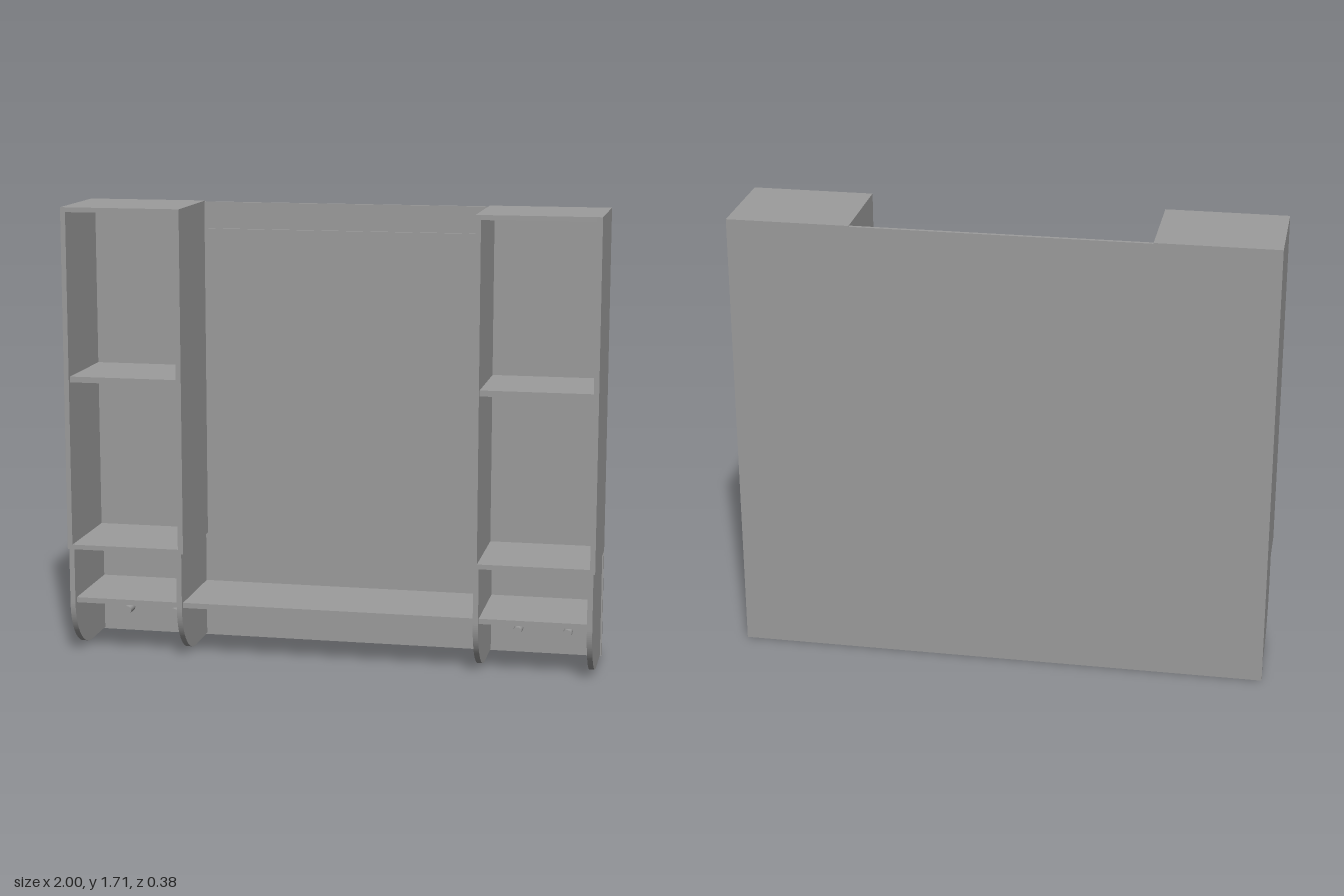
import * as THREE from 'three';

const material = new THREE.MeshStandardMaterial({ color: 0x9c9c9c });

export function createModel() {
  const model = new THREE.Group();
  model.name = 'wallShelfUnit';

  const add = (name, geometry, parent = model) => {
    const mesh = new THREE.Mesh(geometry, material);
    mesh.name = name;
    parent.add(mesh);
    return mesh;
  };

  // Box given by its two extreme corners
  const slab = (name, x0, x1, y0, y1, z0, z1, parent) => {
    const mesh = add(name, new THREE.BoxGeometry(x1 - x0, y1 - y0, z1 - z0), parent);
    mesh.position.set((x0 + x1) / 2, (y0 + y1) / 2, (z0 + z1) / 2);
  };

  // Full-width back board, thin centre panel and the long lower shelf
  slab('backPanel', -1, 1, 0, 1.707, -0.192, -0.178);
  slab('centrePanel', -0.53, 0.53, 0.417, 1.606, -0.178, -0.165);
  slab('centreShelf', -0.555, 0.555, 0.2, 0.22, -0.178, 0.175);

  // Lower side board: rounded lower front corner, drawn with z along the shape's x
  const sideShape = new THREE.Shape();
  sideShape.moveTo(-0.178, 0.005);
  sideShape.lineTo(-0.008, 0.005);
  sideShape.absellipse(-0.008, 0.205, 0.2, 0.2, -Math.PI / 2, 0, false);
  sideShape.lineTo(0.192, 0.412);
  sideShape.lineTo(-0.178, 0.412);
  sideShape.closePath();
  const sideGeometry = new THREE.ExtrudeGeometry(sideShape, {
    depth: 0.02, bevelEnabled: false, curveSegments: 20,
  });
  sideGeometry.rotateY(-Math.PI / 2);

  for (const side of [-1, 1]) {
    const tower = new THREE.Group();
    tower.name = side > 0 ? 'leftTower' : 'rightTower';
    model.add(tower);

    // Slab mirrored to this side, from inner to outer x
    const part = (name, inner, outer, y0, y1, z0, z1) => slab(
      name, Math.min(side * inner, side * outer), Math.max(side * inner, side * outer),
      y0, y1, z0, z1, tower);

    // Upper cabinet
    part('innerWall', 0.547, 0.567, 0.412, 1.71, -0.192, 0.192);
    part('outerWall', 0.981, 1, 0.412, 1.71, -0.192, 0.192);
    part('cabinetTop', 0.567, 0.981, 1.692, 1.71, -0.192, 0.192);
    part('cabinetBottom', 0.567, 0.981, 0.412, 0.43, -0.178, 0.192);
    part('middleShelf', 0.567, 0.981, 1.052, 1.074, -0.178, 0.175);
    part('lowerShelf', 0.573, 0.975, 0.2, 0.22, -0.178, 0.175);

    // Rounded lower sides, set in slightly; the extrusion runs toward -x
    for (const [name, centre] of [['innerLowerSide', 0.564], ['outerLowerSide', 0.984]]) {
      add(name, sideGeometry, tower).position.x = side * centre + 0.01;
    }

    // Pegs under the lower shelf
    for (const x of [0.678, 0.869]) {
      const peg = add('peg', new THREE.CylinderGeometry(0.017, 0.017, 0.06, 20), tower);
      peg.rotation.x = Math.PI / 2;
      peg.position.set(side * x + 0.004, 0.095, -0.15);
    }
  }
  return model;
}
